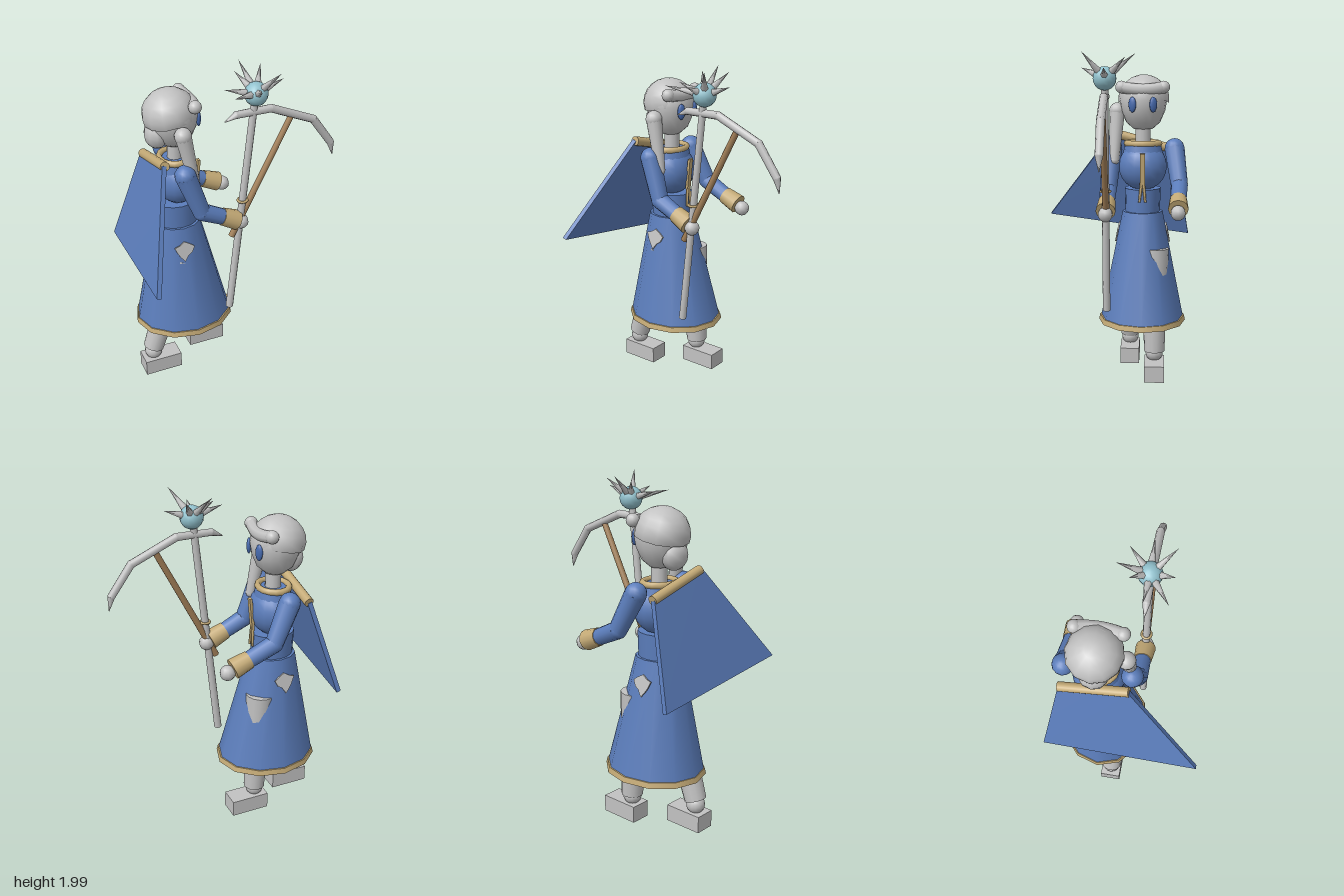
import * as THREE from 'three';

const V = (x, y, z) => new THREE.Vector3(x, y, z);
const material = (name, color, side = THREE.FrontSide) => {
  const m = new THREE.MeshStandardMaterial({ color, side });
  m.name = name;
  return m;
};

export function createModel() {
  const model = new THREE.Group();
  model.name = 'robedTraveller';
  const blue = material('robeBlue', 0x5b7dbb);
  const tan = material('trimTan', 0xc4aa76);
  const grey = material('paleGrey', 0xc2c2c2);
  const wood = material('handleWood', 0xa5825a);
  const crystal = material('crystalBlue', 0x92c2ce);
  const iris = material('eyeBlue', 0x4569ad);

  const add = (name, geo, mat, pos = V(0, 0, 0)) => {
    const m = new THREE.Mesh(geo, mat);
    m.name = name;
    m.position.copy(pos);
    model.add(m);
    return m;
  };
  // Tapered rod from a to b
  const rod = (name, mat, a, b, ra, rb = ra, sides = 12) => {
    const d = b.clone().sub(a);
    const m = add(name, new THREE.CylinderGeometry(rb, ra, d.length(), sides), mat, a.clone().add(b).multiplyScalar(0.5));
    m.quaternion.setFromUnitVectors(V(0, 1, 0), d.normalize());
    return m;
  };
  const ball = (name, mat, p, r, sx = 1, sy = 1, sz = 1, w = 14, h = 10) => {
    const m = add(name, new THREE.SphereGeometry(r, w, h), mat, p);
    m.scale.set(sx, sy, sz);
    return m;
  };
  const midZ = -0.16;

  // Skirt: twelve-sided elliptical cone leaning slightly, with a hem
  const skirt = new THREE.CylinderGeometry(0.143, 0.297, 0.67, 12);
  skirt.rotateY(Math.PI / 2);
  skirt.applyMatrix4(new THREE.Matrix4().set(1, -0.035, 0, 0, 0, 1, 0, 0, 0, 0, 0.87, 0, 0, 0, 0, 1));
  add('skirt', skirt, blue, V(-0.273, 0.685, midZ));
  const hem = new THREE.CylinderGeometry(0.302, 0.31, 0.032, 12).rotateY(Math.PI / 2);
  add('skirtHem', hem, tan, V(-0.26, 0.34, midZ)).scale.z = 0.88;

  // Torso
  add('waist', new THREE.CylinderGeometry(0.132, 0.127, 0.145, 16), blue, V(-0.285, 1.092, midZ)).scale.z = 0.85;
  ball('chest', blue, V(-0.275, 1.3, midZ), 0.15, 0.86, 1, 1, 18, 12);
  add('upperChest', new THREE.CylinderGeometry(0.11, 0.138, 0.13, 16), blue, V(-0.28, 1.375, midZ)).scale.x = 0.88;
  const collar = add('collar', new THREE.TorusGeometry(0.1, 0.02, 8, 16), tan, V(-0.283, 1.44, midZ));
  collar.rotation.x = Math.PI / 2;
  collar.scale.x = 0.88;
  rod('neck', grey, V(-0.28, 1.4, midZ), V(-0.28, 1.58, midZ), 0.046);

  // Ribbon down the chest with two tails
  const ribbon = add('ribbon', new THREE.BoxGeometry(0.016, 0.19, 0.03), tan, V(-0.146, 1.293, midZ));
  ribbon.rotation.z = -0.1;
  for (const s of [-1, 1]) {
    rod('ribbonTail', tan, V(-0.155, 1.21, midZ + s * 0.006), V(-0.148, 1.09, midZ + s * 0.018), 0.01, 0.007, 6);
  }

  // Head: turned profile with a narrow chin
  const profile = [[0, 1.525], [0.06, 1.53], [0.105, 1.57], [0.135, 1.64], [0.147, 1.71], [0.13, 1.78], [0.08, 1.83], [0, 1.845]];
  const head = new THREE.LatheGeometry(profile.map(([r, y]) => new THREE.Vector2(r, y)), 18);
  add('head', head, grey, V(-0.288, 0, midZ));
  for (const s of [-1, 1]) {
    const eye = ball('eye', iris, V(-0.155, 1.682, midZ + s * 0.063), 0.047, 0.3, 1, 0.52);
    eye.rotation.y = -s * 0.42;
  }

  // Hair: cap, bun, rolled fringe and one side braid
  const cap = new THREE.SphereGeometry(0.157, 12, 6, 0, Math.PI * 2, 0, Math.PI * 0.56);
  const capMesh = add('hairCap', cap, grey, V(-0.303, 1.715, midZ - 0.003));
  capMesh.scale.y = 0.92;
  capMesh.rotation.z = 0.2;
  ball('hairBun', grey, V(-0.385, 1.605, midZ), 0.075, 0.95, 1.15, 1.1, 10, 8);
  const fringe = new THREE.CatmullRomCurve3([V(-0.2, 1.785, -0.03), V(-0.185, 1.775, -0.09), V(-0.178, 1.77, midZ), V(-0.185, 1.775, -0.23), V(-0.2, 1.785, -0.285)]);
  add('fringe', new THREE.TubeGeometry(fringe, 12, 0.035, 8), grey);
  for (const z of [-0.03, -0.285]) ball('fringeEnd', grey, V(-0.2, 1.785, z), 0.038);
  ball('braidTop', grey, V(-0.285, 1.64, 0), 0.05);
  rod('braid', grey, V(-0.285, 1.64, 0), V(-0.228, 1.34, 0.015), 0.048, 0.03);
  ball('braidEnd', grey, V(-0.228, 1.34, 0.015), 0.03);

  // Arms, listed from shoulder to hand
  const arms = [
    { shoulder: V(-0.29, 1.41, 0.03), elbow: V(-0.205, 1.165, 0.05), wrist: V(-0.08, 1.105, 0.052), cuff: V(0.015, 1.06, 0.055), hand: V(0.04, 1.045, 0.055) },
    { shoulder: V(-0.285, 1.41, -0.355), elbow: V(-0.18, 1.195, -0.385), wrist: V(-0.03, 1.125, -0.377), cuff: V(0.07, 1.085, -0.375), hand: V(0.1, 1.067, -0.373) },
  ];
  for (const a of arms) {
    ball('shoulder', blue, a.shoulder, 0.062);
    rod('upperSleeve', blue, a.shoulder, a.elbow, 0.062, 0.052);
    ball('elbow', blue, a.elbow, 0.052);
    rod('lowerSleeve', blue, a.elbow, a.wrist, 0.052, 0.048);
    rod('cuff', tan, a.wrist, a.cuff, 0.052, 0.06);
    ball('hand', grey, a.hand, 0.045, 1, 1, 1, 10, 8);
  }

  // Legs and block shoes
  const legs = [
    { hip: V(-0.29, 0.8, -0.08), ankle: V(-0.5, 0.17, -0.08), shoe: -0.455 },
    { hip: V(-0.175, 0.8, -0.24), ankle: V(-0.148, 0.15, -0.24), shoe: -0.098 },
  ];
  for (const l of legs) {
    rod('leg', grey, l.ankle, l.hip, 0.064, 0.085, 14);
    ball('ankle', grey, V(l.ankle.x - 0.002, 0.14, l.ankle.z), 0.055);
    add('shoe', new THREE.BoxGeometry(0.235, 0.1, 0.122), grey, V(l.shoe, 0.05, l.ankle.z));
  }

  // Cape: a slab with its corners pulled into place, hung from a roll
  const corners = { '11': [-0.412, 1.5, 0.035], '1-1': [-0.412, 1.39, -0.36], '-1-1': [-0.583, 0.828, -0.455], '-11': [-0.617, 0.945, 0.455] };
  const cape = new THREE.BoxGeometry(2, 2, 2);
  const p = cape.attributes.position;
  for (let i = 0; i < p.count; i++) {
    const [x, y, z] = corners[`${p.getY(i)}${p.getZ(i)}`];
    p.setXYZ(i, x + p.getX(i) * 0.013, y - p.getX(i) * 0.004, z);
  }
  cape.computeVertexNormals();
  add('cape', cape, blue);
  rod('capeRoll', tan, V(-0.408, 1.392, -0.358), V(-0.408, 1.495, 0.033), 0.028);

  // Shield-shaped patches on both sides of the skirt
  const shape = new THREE.Shape([[0, 0.055], [0.035, 0.035], [0.062, 0.015], [0.045, -0.02], [0.02, -0.035], [-0.005, -0.072], [-0.03, -0.04], [-0.045, -0.015], [-0.062, 0.025], [-0.03, 0.035]].map(([x, y]) => new THREE.Vector2(x, y)));
  for (const s of [-1, 1]) {
    const patch = new THREE.ExtrudeGeometry(shape, { depth: 0.009, bevelEnabled: false }).translate(0, 0, -0.0045);
    add('skirtPatch', patch, grey, V(-0.295, 0.89, midZ + s * 0.155)).rotation.x = -s * 0.2;
  }

  // Spiked mace on a long staff
  const gripZ = 0.052;
  const core = V(0.127, 1.84, gripZ);
  rod('maceStaff', grey, V(-0.034, 0.44, gripZ), V(0.118, 1.79, gripZ), 0.023, 0.021, 10);
  const ring = add('staffRing', new THREE.TorusGeometry(0.028, 0.008, 6, 12), tan, V(0.05, 1.185, gripZ));
  ring.rotation.x = Math.PI / 2;
  ball('maceCore', crystal, core, 0.068);
  const tips = [[0.095, 1.98, -0.12], [0.207, 1.96, -0.068], [0.295, 1.9, 0.048], [0.217, 1.99, 0.178], [0.1, 1.9, 0.186], [-0.055, 1.89, 0.176], [-0.058, 1.89, 0.044], [0.037, 1.95, -0.045]];
  for (const t of tips) {
    const tip = V(...t);
    const base = core.clone().add(tip.clone().sub(core).setLength(0.055));
    rod('maceSpike', grey, base, tip, 0.022, 0, 6);
  }

  // Pickaxe: wooden handle and bent head tapering at both ends
  rod('pickHandle', wood, V(-0.02, 0.955, gripZ), V(0.345, 1.665, gripZ), 0.02, 0.018, 10);
  const bends = [[-0.06, 1.705, 0.003], [0.01, 1.735, 0.022], [0.22, 1.737, 0.024], [0.49, 1.62, 0.024], [0.612, 1.45, 0.023], [0.63, 1.365, 0.002]];
  for (let i = 0; i < bends.length - 1; i++) {
    const [ax, ay, ar] = bends[i];
    const [bx, by, br] = bends[i + 1];
    rod('pickHead', grey, V(ax, ay, gripZ), V(bx, by, gripZ), ar, br, 8);
    if (i) ball('pickJoint', grey, V(ax, ay, gripZ), ar, 1, 1, 1, 8, 6);
  }
  return model;
}
